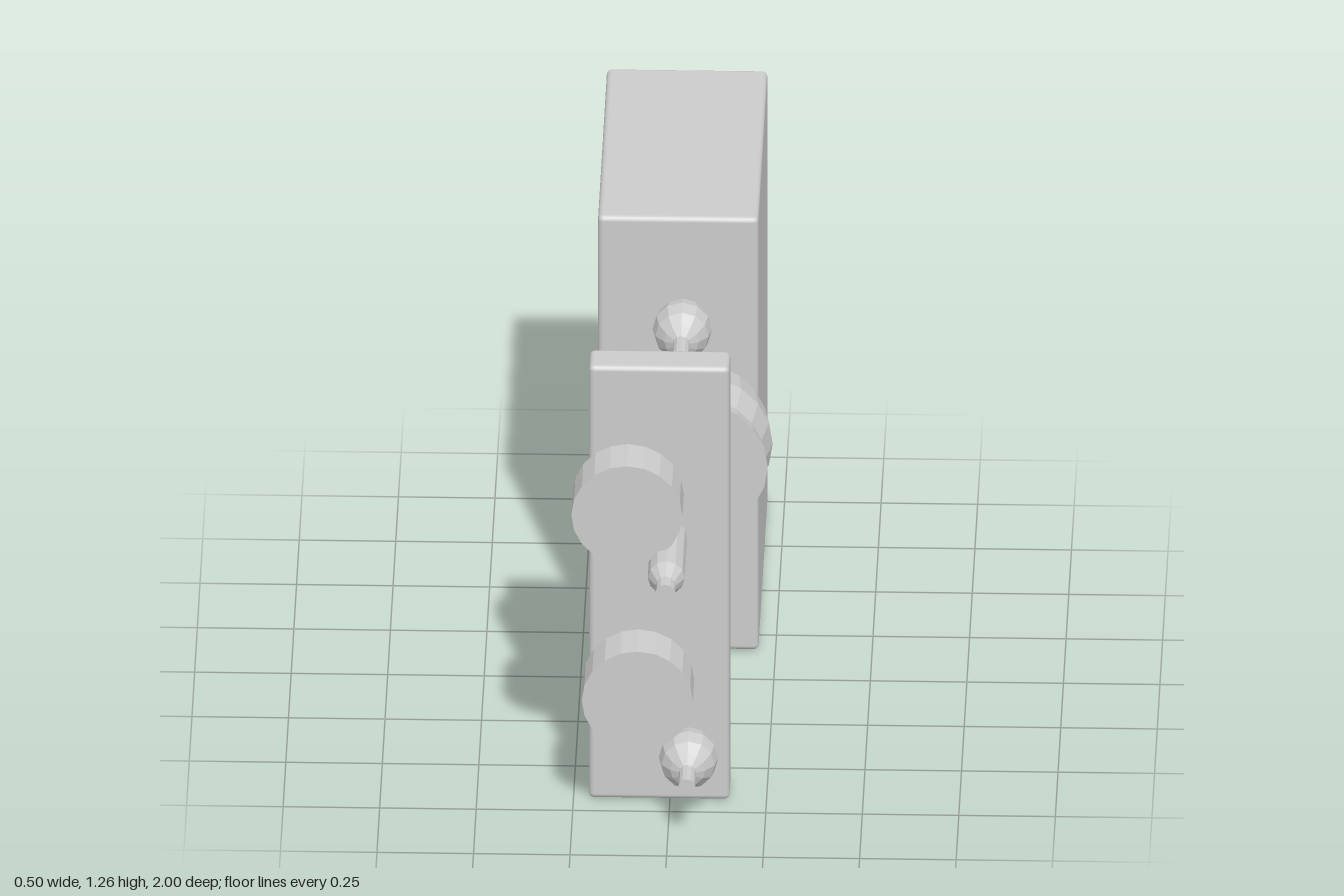
import * as THREE from 'three';
import { RoundedBoxGeometry } from 'three/addons/geometries/RoundedBoxGeometry.js';

const grey = new THREE.MeshStandardMaterial({ color: 0xcccccc });
grey.name = 'plain grey';

// Softly bevelled block given by its min and max corners
function block(name, min, max, bevel) {
  const size = max.map((v, i) => v - min[i]);
  const mesh = new THREE.Mesh(new RoundedBoxGeometry(...size, 2, bevel), grey);
  mesh.position.set(...min.map((v, i) => (v + max[i]) / 2));
  mesh.name = name;
  return mesh;
}

// Faceted turned part along +z; profile holds [radius, distance from base]
function turned(name, profile, sides, x, y, z) {
  const points = profile.map(([r, d]) => new THREE.Vector2(r, d));
  const geometry = new THREE.LatheGeometry(points, sides).toNonIndexed();
  geometry.rotateX(Math.PI / 2);
  geometry.computeVertexNormals();
  const mesh = new THREE.Mesh(geometry, grey);
  mesh.position.set(x, y, z);
  mesh.name = name;
  return mesh;
}

export function createModel() {
  const model = new THREE.Group();
  model.name = 'boxAndPanel';

  // Deep rear cabinet and slim front panel
  model.add(block('cabinet', [-0.21, 0, -1], [0.206, 1.26, -0.16], 0.014));
  model.add(block('frontPanel', [-0.21, 0, 0.58], [0.154, 1.26, 0.683], 0.014));

  // Tabs on the back of the panel
  for (const [name, y] of [['lowerTab', 0.118], ['upperTab', 1.12]]) {
    model.add(block(name, [-0.21, y, 0.395], [0.02, y + 0.033, 0.585], 0.003));
  }

  // Cube at the foot of the cabinet
  model.add(block('footCube', [-0.157, 0.003, -0.17], [0.05, 0.187, 0.026], 0.005));

  // Panel dials
  const dial = [[0, 0], [0.122, 0], [0.144, 0.035], [0.144, 0.16], [0, 0.16]];
  model.add(turned('upperDial', dial, 20, -0.107, 0.91, 0.683));
  model.add(turned('lowerDial', dial, 20, -0.08, 0.37, 0.683));

  // Slim pointed handle
  const handle = [[0, 0], [0.048, 0], [0.048, 0.228], [0.026, 0.27], [0.026, 0.317], [0, 0.317]];
  model.add(turned('pointedHandle', handle, 12, -0.003, 0.765, 0.683));

  // Round knobs with a thin stem
  const ball = [[0, 0], [0.045, 0], [0.068, 0.03], [0.077, 0.07], [0.069, 0.112],
    [0.045, 0.142], [0.022, 0.154], [0.022, 0.235], [0, 0.235]];
  model.add(turned('panelBallKnob', ball, 12, 0.05, 0.16, 0.683));
  model.add(turned('cabinetBallKnob', ball, 12, 0.01, 0.963, -0.178));

  // Large drum on the cabinet with a flared front rim
  const drum = [[0, 0], [0.117, 0], [0.182, 0.062], [0.197, 0.16], [0.18, 0.25], [0.188, 0.294], [0, 0.294]];
  model.add(turned('drum', drum, 20, 0.05, 0.687, -0.162));

  return model;
}
